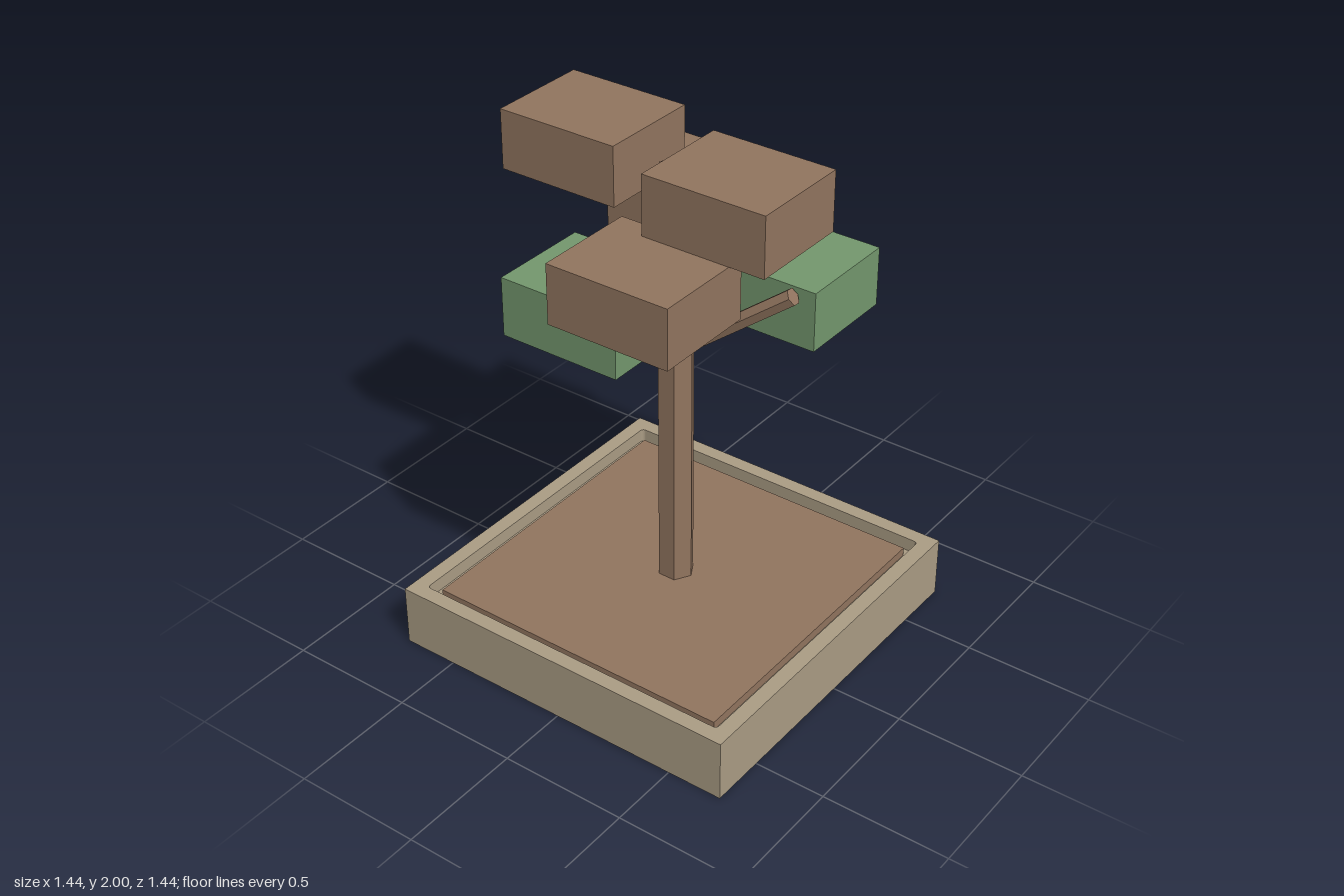
import * as THREE from 'three';

const material = (name, color) => {
  const m = new THREE.MeshStandardMaterial({ color });
  m.name = name;
  return m;
};

export function createModel() {
  const stone = material('planterStone', 0xab9d85);
  const brown = material('brown', 0x92755f);
  const green = material('leafGreen', 0x74986e);
  const model = new THREE.Group();
  model.name = 'planterTree';

  const add = (name, geometry, mat, parent = model) => {
    const mesh = new THREE.Mesh(geometry, mat);
    mesh.name = name;
    parent.add(mesh);
    return mesh;
  };

  // Square planter: base slab and a raised rim with slightly rounded inner corners
  const planter = new THREE.Group();
  planter.name = 'planter';
  model.add(planter);
  const outer = 0.72, inner = 0.66, r = 0.015, floorY = 0.19, rimY = 0.245;
  add('planterBase', new THREE.BoxGeometry(outer * 2, floorY, outer * 2), stone, planter).position.y = floorY / 2;
  const rim = new THREE.Shape([[-1, -1], [1, -1], [1, 1], [-1, 1]].map(([x, y]) => new THREE.Vector2(x * outer, y * outer)));
  const hole = new THREE.Path();
  const c = inner - r;
  hole.absarc(c, c, r, 0, Math.PI / 2);
  hole.absarc(-c, c, r, Math.PI / 2, Math.PI);
  hole.absarc(-c, -c, r, Math.PI, Math.PI * 1.5);
  hole.absarc(c, -c, r, Math.PI * 1.5, Math.PI * 2);
  rim.holes.push(hole);
  const rimGeometry = new THREE.ExtrudeGeometry(rim, { depth: rimY - floorY, bevelEnabled: false, curveSegments: 3 });
  rimGeometry.rotateX(-Math.PI / 2);
  add('planterRim', rimGeometry, stone, planter).position.y = floorY;

  // Soil slab, sitting in the recess with a narrow gap all round
  add('soil', new THREE.BoxGeometry(1.245, 0.04, 1.245), brown).position.y = 0.205;

  // Hexagonal trunk with corners on the x axis
  const trunkGeometry = new THREE.CylinderGeometry(0.07, 0.07, 1.7, 6).toNonIndexed();
  trunkGeometry.rotateY(Math.PI / 6);
  trunkGeometry.computeVertexNormals();
  add('trunk', trunkGeometry, brown).position.y = 1.065;

  // Branches: hexagonal rods between two points
  const addBranch = (name, from, to) => {
    const a = new THREE.Vector3(...from), b = new THREE.Vector3(...to);
    const dir = b.clone().sub(a);
    const geometry = new THREE.CylinderGeometry(0.033, 0.033, dir.length(), 6).toNonIndexed();
    geometry.computeVertexNormals();
    const branch = add(name, geometry, brown);
    branch.position.copy(a).add(b).multiplyScalar(0.5);
    branch.quaternion.setFromUnitVectors(new THREE.Vector3(0, 1, 0), dir.normalize());
  };
  addBranch('leftBranch', [0.07, 1.25, -0.01], [0.43, 1.52, -0.085]);
  addBranch('rightBranch', [-0.07, 1.215, 0.005], [-0.415, 1.455, 0.09]);

  // Foliage blocks in three tiers: name, material, centre
  const blocks = [
    ['lowerFrontFoliage', green, -0.183, 1.423, 0.224],
    ['lowerBackFoliage', green, 0.252, 1.423, -0.322],
    ['middleFrontFoliage', brown, 0.146, 1.655, 0.374],
    ['middleBackFoliage', brown, -0.107, 1.655, -0.272],
    ['upperRightFoliage', brown, -0.404, 1.885, -0.062],
    ['upperLeftFoliage', brown, 0.285, 1.885, 0.042],
  ];
  for (const [name, mat, x, y, z] of blocks) {
    add(name, new THREE.BoxGeometry(0.492, 0.23, 0.404), mat).position.set(x, y, z);
  }

  return model;
}
